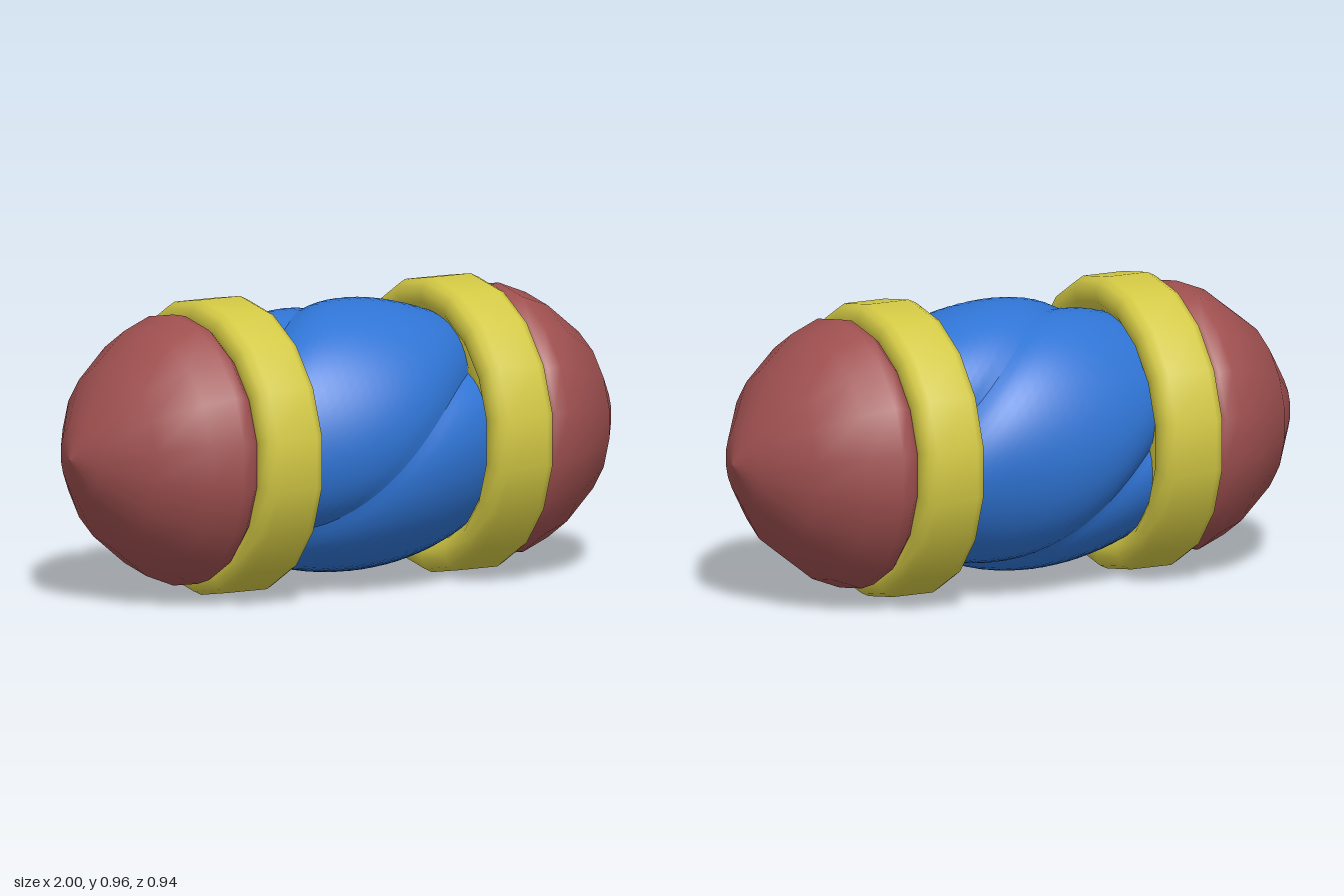
import * as THREE from 'three';

const AXIS_Y = 0.478;

function material(name, color, side = THREE.FrontSide) {
  const m = new THREE.MeshStandardMaterial({ color, side });
  m.name = name;
  return m;
}

// 18-sided turned part with its axis along x; profile is [x, radius] pairs
function turned(profile) {
  const points = profile.map(([x, r]) => new THREE.Vector2(r, x));
  return new THREE.LatheGeometry(points, 18, Math.PI / 2).rotateZ(-Math.PI / 2);
}

// One of three bulging strands that wind around the x axis
function strandGeometry(offset) {
  const nx = 24, na = 24, half = 0.44;
  const positions = [], index = [];
  for (let i = 0; i <= nx; i++) {
    const x = -half + (2 * half * i) / nx;
    const envelope = 0.44 - 0.55 * x * x;
    const depth = 0.026 + 0.25 * x * x;
    for (let j = 0; j <= na; j++) {
      const u = -1 + (2 * j) / na;
      const r = envelope - depth * Math.pow(Math.abs(u), 4);
      const a = THREE.MathUtils.degToRad(98 + 60 - 137 * x + offset + 60 * u);
      positions.push(x, r * Math.cos(a), r * Math.sin(a));
      if (i < nx && j < na) {
        const p = i * (na + 1) + j, q = p + na + 1;
        index.push(p, p + 1, q, p + 1, q + 1, q);
      }
    }
  }
  const g = new THREE.BufferGeometry();
  g.setAttribute('position', new THREE.Float32BufferAttribute(positions, 3));
  g.setIndex(index);
  g.computeVertexNormals();
  return g;
}

export function createModel() {
  const model = new THREE.Group();
  model.name = 'twistedCapsule';
  const red = material('capRed', 0xa05050);
  const yellow = material('ringYellow', 0xd2c844);
  const blue = material('strandBlue', 0x2f74d4, THREE.DoubleSide);

  const add = (name, geometry, mat) => {
    const mesh = new THREE.Mesh(geometry, mat);
    mesh.name = name;
    mesh.position.y = AXIS_Y;
    model.add(mesh);
    return mesh;
  };

  // Twisted middle
  for (let k = 0; k < 3; k++) add(`strand${k + 1}`, strandGeometry(120 * k), blue);

  // Rounded, pointed end caps
  const cap = turned([
    [0.44, 0.3], [0.5, 0.36], [0.545, 0.41], [0.565, 0.43], [0.61, 0.439],
    [0.71, 0.4], [0.85, 0.29], [0.96, 0.12], [1, 0],
  ]);

  // Bevelled collars
  const ring = turned([
    [0.345, 0.37], [0.323, 0.4], [0.32, 0.435], [0.333, 0.465], [0.36, 0.478],
    [0.505, 0.478], [0.532, 0.465], [0.545, 0.435], [0.542, 0.4], [0.52, 0.37],
    [0.52, 0.3], [0.345, 0.3], [0.345, 0.37],
  ]);

  for (const [side, turn] of [['left', 0], ['right', Math.PI]]) {
    add(`${side}Cap`, cap, red).rotation.y = turn;
    add(`${side}Ring`, ring, yellow).rotation.y = turn;
  }
  return model;
}
